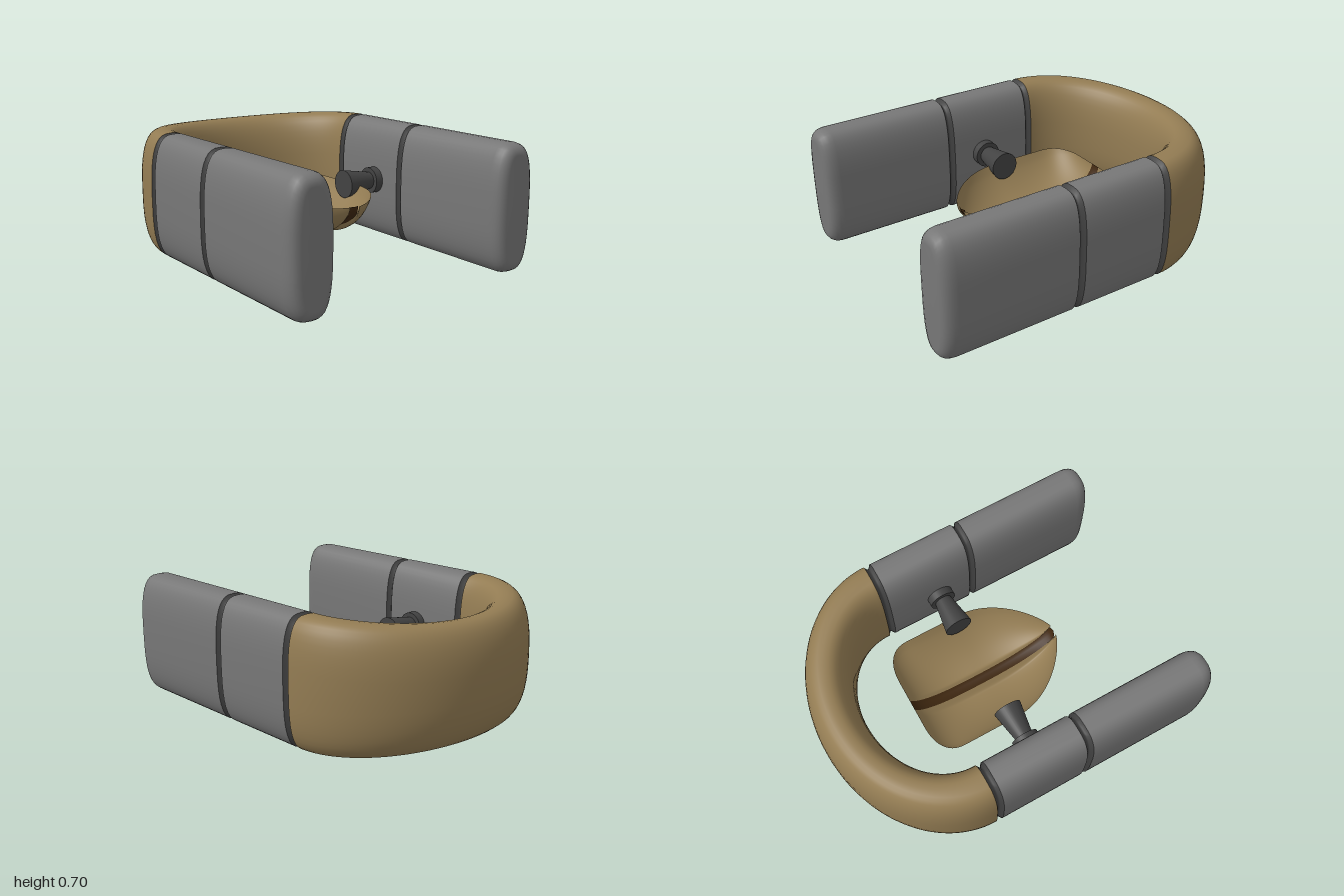
import * as THREE from 'three';

const mat = (name, color, side = THREE.FrontSide) => {
  const m = new THREE.MeshStandardMaterial({ color, side });
  m.name = name;
  return m;
};

// Skin a list of cross-sections (arrays of [x, y, z]) into one smooth surface
function loft(rows, closed = true) {
  const n = rows[0].length, index = [];
  const last = closed ? n : n - 1;
  for (let i = 0; i < rows.length - 1; i++) {
    for (let j = 0; j < last; j++) {
      const k = (j + 1) % n;
      const a = i * n + j, b = i * n + k, c = a + n, d = b + n;
      index.push(a, b, c, b, d, c);
    }
  }
  const g = new THREE.BufferGeometry();
  g.setAttribute('position', new THREE.Float32BufferAttribute(rows.flat(2), 3));
  g.setIndex(index);
  g.computeVertexNormals();
  return g;
}

// Rounded upright section: half width a, half height b, squareness n
function section(a, b, n) {
  const pts = [], N = 40;
  const pow = (v) => Math.sign(v) * Math.pow(Math.abs(v) < 1e-9 ? 0 : Math.abs(v), 2 / n);
  for (let i = 0; i < N; i++) {
    const t = (i / N) * Math.PI * 2;
    pts.push([a * pow(Math.cos(t)), b * pow(Math.sin(t))]);
  }
  return pts;
}

const ARM_X = 0.6475, HALF_W = 0.1325, HALF_H = 0.35, MID_Y = 0.355, BEND_Z = -0.35;

// Straight piece of an arm from [z, inset] stations
const armPiece = (stations) => loft(stations.map(([z, inset]) =>
  section(Math.max(HALF_W - inset, 0), inset >= HALF_W ? 0 : HALF_H - inset, 3)
    .map(([x, y]) => [ARM_X + x, MID_Y + y, z])));

// Curved back joining the arms, slightly lower in the middle
function backGeometry() {
  const rows = [], N = 56;
  for (let i = 0; i <= N; i++) {
    const t = Math.PI * (1 - i / N), s = Math.sin(t);
    rows.push(section(HALF_W, HALF_H - 0.034 * s * s, 3 - 0.6 * s)
      .map(([o, y]) => [(ARM_X + o) * Math.cos(t), MID_Y + y, BEND_Z - (0.5175 + o) * s]));
  }
  return loft(rows);
}

// Seat shell: half width and depth along z
const SEAT_L = 0.46, STRIPE = 0.03, RIM_Y = 0.355;
function seatWidth(z) {
  if (z < -0.3) {
    const t = (-0.3 - z) / 0.16;
    return 0.15 + 0.2 * Math.pow(Math.max(0, 1 - t ** 2.6), 0.45);
  }
  if (z < 0.02) return 0.35;
  const t = (z - 0.02) / 0.44;
  return STRIPE + 0.003 + 0.317 * Math.pow(Math.max(0, 1 - t ** 2), 0.8);
}
const seatDepth = (z) => {
  const t = Math.abs(z) / SEAT_L;
  return 0.215 * Math.pow(Math.max(0, 1 - t ** (z < 0 ? 3 : 2.3)), 0.6);
};
const seatStations = Array.from({ length: 49 }, (_, i) => -SEAT_L * Math.cos((i / 48) * Math.PI));

function seatHalf() {
  return loft(seatStations.map((z) => {
    const w = seatWidth(z), d = seatDepth(z), row = [];
    for (let j = 0; j <= 24; j++) {
      const t = (j / 24) ** 1.4;
      const groove = 0.17 * Math.max(0, 1 - t / 0.1);
      const f = Math.pow(1 - t * t, 0.8) - groove;
      row.push([STRIPE + (w - STRIPE) * t, RIM_Y - d * f, z]);
    }
    return row;
  }), false);
}

function seatStripe() {
  return loft(seatStations.map((z) => [-1, 0, 1].map((u) => {
    const d = seatDepth(z);
    return [u * STRIPE, RIM_Y - d * (u === 0 ? 0.71 : 0.83), z - (u !== 0 && z > 0.44 ? (z - 0.44) * 0.5 : 0)];
  })), false);
}

export function createModel() {
  const grey = mat('grey shell', 0x777777);
  const dark = mat('dark metal', 0x434343);
  const tan = mat('tan shell', 0x937c53);
  const tanSeat = mat('tan seat', 0x937c53, THREE.DoubleSide);
  const brown = mat('dark brown stripe', 0x402810, THREE.DoubleSide);

  const model = new THREE.Group();
  model.name = 'model';
  const add = (parent, name, geometry, material) => {
    const m = new THREE.Mesh(geometry, material);
    m.name = name;
    parent.add(m);
    return m;
  };

  add(model, 'curvedBack', backGeometry(), tan);

  // Arm, joints, peg and seat half, mirrored for the other side
  for (const [side, sign] of [['left', 1], ['right', -1]]) {
    const half = new THREE.Group();
    half.name = side + 'Half';
    half.scale.x = sign;
    model.add(half);

    add(half, side + 'ArmRear', armPiece([[-0.31, 0], [0.195, 0]]), grey);
    add(half, side + 'ArmFront', armPiece([[0.235, 0], [0.92, 0], [0.945, 0.003], [0.965, 0.009],
      [0.982, 0.02], [0.994, 0.036], [1, 0.06], [1, HALF_W]]), grey);
    for (const z of [BEND_Z, 0.195]) {
      add(half, side + 'ArmJoint', armPiece([[z, 0], [z + 0.015, 0.02], [z + 0.025, 0.02], [z + 0.04, 0]]), dark);
    }

    const collar = add(half, side + 'PegCollar', new THREE.CylinderGeometry(0.077, 0.077, 0.06, 32), dark);
    collar.position.set(0.5, 0.36, -0.005);
    collar.rotation.z = Math.PI / 2;
    const peg = add(half, side + 'Peg', new THREE.CylinderGeometry(0.082, 0.05, 0.19, 32), dark);
    peg.position.set(0.377, 0.36, -0.005);
    peg.rotation.z = Math.PI / 2;

    add(half, side + 'SeatShell', seatHalf(), tanSeat);
  }

  add(model, 'seatStripe', seatStripe(), brown);
  return model;
}
